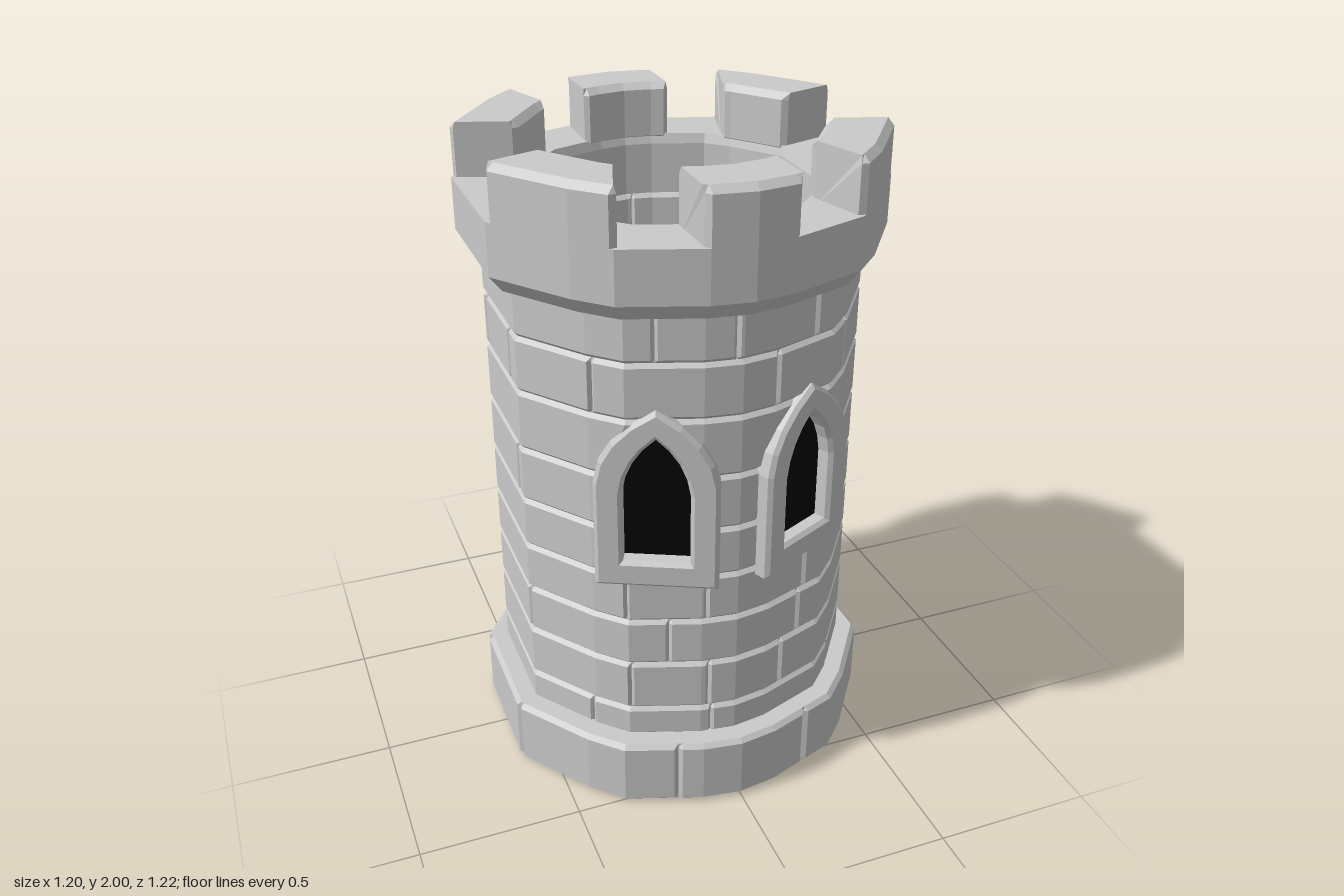
import * as THREE from 'three';

const stone = new THREE.MeshStandardMaterial({ color: 0xcacaca });
stone.name = 'grey stone';
stone.flatShading = true;
const dark = new THREE.MeshStandardMaterial({ color: 0x030303 });
dark.name = 'window black';

const RAD = Math.PI / 180;

// Plan outline of the tower: one quadrant, mirrored to a full ring
const quadrant = [[0.6, 0.2], [0.44, 0.42], [0.35, 0.51], [0.12, 0.59], [0, 0.607]];
const plan = [
  ...quadrant,
  ...quadrant.slice(0, 4).reverse().map(([x, z]) => [-x, z]),
];
plan.push(...plan.map(([x, z]) => [-x, -z]));
const corners = plan
  .map(([x, z]) => ({ x, z, a: (Math.atan2(z, x) / RAD + 360) % 360 }))
  .sort((p, q) => p.a - q.a);

// Point on the plan outline at an angle, scaled so the side face lies at x = r
function onPlan(deg, r) {
  const a = ((deg % 360) + 360) % 360;
  const i = Math.max(0, corners.findIndex((c) => c.a > a));
  const q = corners[i];
  const p = corners[(i + corners.length - 1) % corners.length];
  const dx = Math.cos(a * RAD), dz = Math.sin(a * RAD);
  const ex = q.x - p.x, ez = q.z - p.z;
  const t = (p.x * ez - p.z * ex) / (dx * ez - dz * ex) * r / 0.6;
  return [dx * t, dz * t];
}

// Chamfered rectangular section as [radius, height] points
function section(r0, r1, y0, y1, b) {
  return [[r0 + b, y0], [r1 - b, y0], [r1, y0 + b], [r1, y1 - b],
    [r1 - b, y1], [r0 + b, y1], [r0, y1 - b], [r0, y0 + b]];
}

// Sweep a section along the outline; ends may be angles or rules of (y, r)
function stoneBlock(name, loop, start, end, b) {
  const rule = (e) => (typeof e === 'function' ? e : () => e);
  const from = rule(start), to = rule(end);
  const rs = loop.map((p) => p[0]);
  const rMin = Math.min(...rs), rMax = Math.max(...rs);
  const lo = Math.min(...loop.map(([r, y]) => from(y, r)));
  const hi = Math.max(...loop.map(([r, y]) => to(y, r)));
  const step = b / 0.55 / RAD;
  const inner = [];
  for (const turn of [0, 360]) {
    for (const c of corners) if (c.a + turn > lo + 0.1 && c.a + turn < hi - 0.1) inner.push(c.a + turn);
  }
  // The outermost stations are clamped to the ends of the block
  const stations = [-1000, ...(b ? [-1000] : []), ...inner, ...(b ? [1000] : []), 1000];
  const n = loop.length, last = stations.length - 1;
  const pos = [], idx = [];
  stations.forEach((s, i) => {
    const tip = i === 0 || i === last;
    for (const [r, y] of loop) {
      const rr = tip ? Math.min(Math.max(r, rMin + b), rMax - b) : r;
      const pad = tip ? 0 : step;
      const a = Math.min(Math.max(s, from(y, r) + pad), to(y, r) - pad);
      const [x, z] = onPlan(a, rr);
      pos.push(x, y, z);
    }
  });
  for (let i = 0; i < last; i++) {
    for (let k = 0; k < n; k++) {
      const a = i * n + k, c = i * n + ((k + 1) % n);
      idx.push(a, c, a + n, c, c + n, a + n);
    }
  }
  for (let k = 1; k < n - 1; k++) {
    idx.push(0, k + 1, k, last * n, last * n + k, last * n + k + 1);
  }
  let geo = new THREE.BufferGeometry();
  geo.setAttribute('position', new THREE.Float32BufferAttribute(pos, 3));
  geo.setIndex(idx);
  geo = geo.toNonIndexed();
  geo.computeVertexNormals();
  const mesh = new THREE.Mesh(geo, stone);
  mesh.name = name;
  return mesh;
}

// Pointed arch outline
function arch(Type, w, y0, spring, apex, bulge) {
  const s = new Type();
  const mid = spring + (apex - spring) * 0.62;
  s.moveTo(-w, y0);
  s.lineTo(w, y0);
  s.lineTo(w, spring);
  s.quadraticCurveTo(w * bulge, mid, 0, apex);
  s.quadraticCurveTo(-w * bulge, mid, -w, spring);
  s.lineTo(-w, y0);
  return s;
}

function makeWindow(deg) {
  const g = new THREE.Group();
  g.name = 'archedWindow';
  const outline = arch(THREE.Shape, 0.18, 0.78, 1.12, 1.355, 0.92);
  outline.holes.push(arch(THREE.Path, 0.097, 0.865, 1.09, 1.265, 0.88));
  const frame = new THREE.Mesh(new THREE.ExtrudeGeometry(outline, {
    depth: 0.055, bevelThickness: 0.012, bevelSize: 0.012, bevelOffset: -0.012,
    bevelSegments: 1, curveSegments: 4,
  }), stone);
  frame.name = 'windowFrame';
  frame.position.z = 0.487;
  const pane = new THREE.Mesh(new THREE.ExtrudeGeometry(
    arch(THREE.Shape, 0.105, 0.855, 1.09, 1.275, 0.88),
    { depth: 0.008, bevelEnabled: false, curveSegments: 4 }), dark);
  pane.name = 'windowOpening';
  pane.position.z = 0.497;
  g.add(frame, pane);
  g.rotation.y = (90 - deg) * RAD;
  return g;
}

export function createModel() {
  const half = new THREE.Group();
  half.name = 'towerHalf';
  const WIN = [64.4, 115.6];

  // Foundation stones
  const ring = (name, joints, sec, b) => joints.forEach((j, i) => {
    const next = i + 1 < joints.length ? joints[i + 1] : joints[0] + 180;
    half.add(stoneBlock(name, sec, j, next, b));
  });
  ring('foundationStone', [18, 66, 109, 162], section(0.4, 0.602, 0, 0.222, 0.014), 0.012);

  // Plain brick courses: bottom, top, joint angles over half a turn
  const courses = [
    [0.215, 0.32, [41, 98, 138]],
    [0.32, 0.49, [72, 99, 124]],
    [0.49, 0.648, [65, 112, 162]],
    [0.648, 0.803, [63, 100, 125]],
    [1.32, 1.49, [16, 45, 78, 135, 169]],
    [1.49, 1.65, [63, 92, 116]],
  ];
  for (const [y0, y1, joints] of courses) {
    ring('wallBrick', joints, section(0.395, 0.537, y0, y1, 0.012), 0.01);
  }

  // Courses interrupted by the windows: bottom, top, joints between the
  // windows of both halves, and half gap at the top (closing under the arch)
  const windowCourses = [[0.803, 0.962, [], 14], [0.962, 1.135, [166], 14], [1.135, 1.32, [], 4]];
  for (const [y0, y1, joints, topGap] of windowCourses) {
    const edge = (c, side) => (y) => c + side * (14 + (topGap - 14) * (y - y0) / (y1 - y0));
    const sec = section(0.395, 0.537, y0, y1, 0.012);
    half.add(stoneBlock('wallBrick', sec, edge(WIN[0], 1), edge(WIN[1], -1), 0.01));
    const cuts = [edge(WIN[1], 1), ...joints, edge(WIN[0] + 180, -1)];
    for (let i = 0; i + 1 < cuts.length; i++) {
      half.add(stoneBlock('wallBrick', sec, cuts[i], cuts[i + 1], 0.01));
    }
    // Lining stones behind the windows
    for (const c of WIN) {
      half.add(stoneBlock('liningStone', section(0.395, 0.47, y0, y1, 0.01), c - 15, c + 15, 0));
    }
  }
  WIN.forEach((a) => half.add(makeWindow(a)));

  // Parapet ring with sloped underside
  half.add(stoneBlock('parapet', [[0.41, 1.635], [0.565, 1.635], [0.602, 1.685],
    [0.602, 1.84], [0.42, 1.84], [0.41, 1.81]], 0, 180, 0));

  // Merlons, with ends that are wider apart on the outside
  const crown = section(0.415, 0.602, 1.815, 2, 0.02);
  const taper = (inA, outA) => (y, r) => inA + (outA - inA) * (r - 0.415) / 0.187;
  const merlons = [
    [taper(18.4, 18.4), taper(48, 56)],
    [taper(71.5, 77), taper(108.5, 103)],
    [taper(132, 124), taper(161.6, 161.6)],
  ];
  for (const [a, b] of merlons) half.add(stoneBlock('merlon', crown, a, b, 0.015));

  // The far half repeats the near one, turned about the axis
  const other = half.clone();
  other.rotation.y = Math.PI;
  const tower = new THREE.Group();
  tower.name = 'castleTower';
  tower.add(half, other);
  return tower;
}
